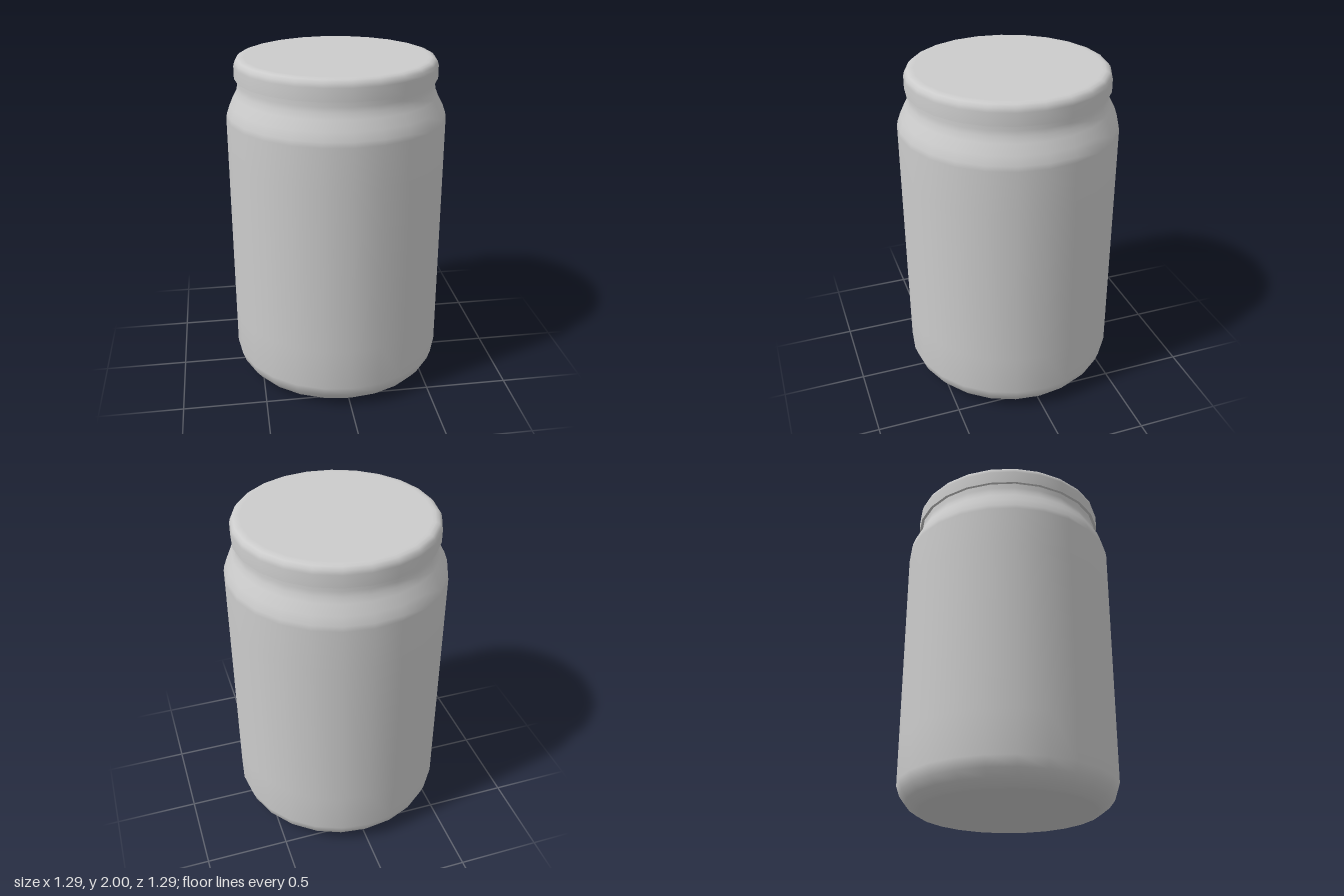
import * as THREE from 'three';

const SIDES = 24;

// Revolve a profile of [radius, height] pairs, listed from bottom to top
function turned(name, profile, material) {
  const points = profile.map(([r, y]) => new THREE.Vector2(r, y));
  const mesh = new THREE.Mesh(new THREE.LatheGeometry(points, SIDES), material);
  mesh.name = name;
  return mesh;
}

export function createModel() {
  const group = new THREE.Group();
  group.name = 'jar';
  const material = new THREE.MeshStandardMaterial({ color: 0xcccccc });

  // Jar body: flat base, rounded foot, straight wall, shoulder and neck
  group.add(turned('jarBody', [
    [0, 0], [0.51, 0], [0.54, 0.005], [0.59, 0.04], [0.625, 0.085], [0.645, 0.145],
    [0.645, 0.4], [0.645, 1.4], [0.645, 1.65], [0.64, 1.68], [0.622, 1.73], [0.592, 1.785],
    [0.578, 1.82], [0.573, 1.85], [0.573, 1.9],
  ], material));

  // Lid: short wall with a softly rounded top edge
  const lid = new THREE.Group();
  lid.name = 'lid';
  lid.add(turned('lidShell', [
    [0.59, 1.88], [0.59, 1.955], [0.584, 1.978], [0.57, 1.994], [0.55, 2], [0.53, 2], [0, 2],
  ], material));

  // Underside of the lid, kept separate for a sharp lower rim
  lid.add(turned('lidUnderside', [[0.54, 1.88], [0.59, 1.88]], material));
  group.add(lid);

  return group;
}
